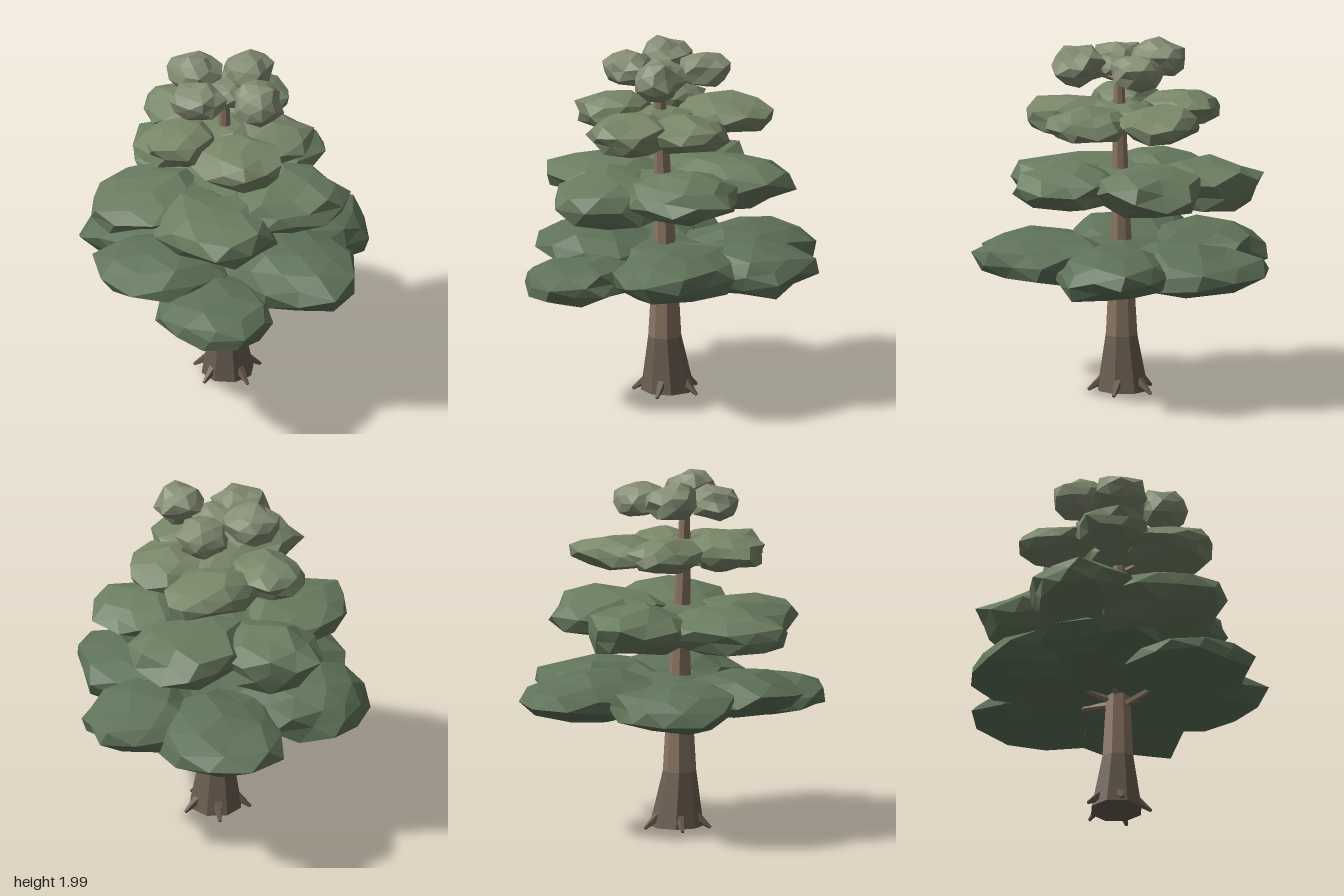
import * as THREE from 'three';
import { mergeVertices } from 'three/addons/utils/BufferGeometryUtils.js';

// Small seeded random generator
let seed = 23;
const rand = () => {
  seed = (seed * 16807) % 2147483647;
  return seed / 2147483647;
};

const paint = (color) => new THREE.MeshStandardMaterial({ color, flatShading: true });
const bark = paint(0x8a7663);
const darkBark = paint(0x6b5d50);

// Foliage tiers, bottom to top; core and clumps are [x, y, z, halfWidth, halfHeight, halfDepth]
const TIERS = [
  { name: 'bottomTier', color: 0x5f7359, core: [-0.04, 0.79, 0.01, 0.36, 0.09, 0.36], clumps: [
    [0.44, 0.79, 0.00, 0.40, 0.14, 0.35],
    [0.20, 0.80, 0.42, 0.35, 0.14, 0.40],
    [-0.34, 0.73, 0.45, 0.34, 0.11, 0.39],
    [-0.44, 0.80, 0.00, 0.40, 0.13, 0.34],
    [-0.35, 0.78, -0.41, 0.36, 0.14, 0.37],
    [0.24, 0.78, -0.44, 0.37, 0.14, 0.41]] },
  { name: 'lowerMiddleTier', color: 0x6a7d60, core: [-0.05, 1.19, 0.0, 0.28, 0.09, 0.28], clumps: [
    [-0.08, 1.20, -0.40, 0.30, 0.14, 0.37],
    [0.29, 1.21, -0.17, 0.35, 0.14, 0.30],
    [0.18, 1.23, 0.27, 0.35, 0.13, 0.31],
    [-0.27, 1.15, 0.29, 0.34, 0.15, 0.37],
    [-0.46, 1.18, -0.12, 0.37, 0.12, 0.32]] },
  { name: 'upperMiddleTier', color: 0x788668, core: [-0.06, 1.57, 0.02, 0.22, 0.08, 0.22], clumps: [
    [-0.18, 1.60, -0.29, 0.20, 0.10, 0.23],
    [0.18, 1.58, -0.22, 0.27, 0.10, 0.24],
    [0.15, 1.57, 0.17, 0.25, 0.10, 0.23],
    [-0.14, 1.55, 0.30, 0.25, 0.11, 0.25],
    [-0.37, 1.59, 0.02, 0.23, 0.11, 0.21]] },
  { name: 'topTier', color: 0x858e74, core: [-0.07, 1.85, 0.03, 0.14, 0.06, 0.14], clumps: [
    [-0.15, 1.89, -0.18, 0.15, 0.11, 0.15],
    [0.13, 1.86, -0.10, 0.15, 0.10, 0.15],
    [-0.26, 1.86, 0.06, 0.15, 0.10, 0.15],
    [0.03, 1.86, 0.24, 0.15, 0.12, 0.15]] },
];

// Trunk sections: [y, centreX, centreZ, radius]
const BASE = [[0.02, -0.045, 0, 0.15], [0.33, -0.058, 0.01, 0.093]];
const STEM = [
  BASE[1], [0.7, -0.056, 0.012, 0.072], [1.0, -0.058, 0.015, 0.056],
  [1.4, -0.072, 0.022, 0.044], [1.84, -0.082, 0.028, 0.028],
];

// Faceted column through a list of round sections, capped at both ends
function columnGeometry(sections, sides = 8) {
  const pos = [];
  const index = [];
  for (const [y, cx, cz, r] of sections) {
    for (let i = 0; i < sides; i++) {
      const a = (i / sides) * Math.PI * 2 + 0.2;
      pos.push(cx + Math.cos(a) * r, y, cz + Math.sin(a) * r);
    }
  }
  for (let s = 0; s < sections.length - 1; s++) {
    for (let i = 0; i < sides; i++) {
      const a = s * sides + i;
      const b = s * sides + ((i + 1) % sides);
      index.push(a, a + sides, b, b, a + sides, b + sides);
    }
  }
  const top = (sections.length - 1) * sides;
  for (let i = 1; i < sides - 1; i++) {
    index.push(0, i, i + 1, top, top + i + 1, top + i);
  }
  const geo = new THREE.BufferGeometry();
  geo.setAttribute('position', new THREE.Float32BufferAttribute(pos, 3));
  geo.setIndex(index);
  geo.computeVertexNormals();
  return geo;
}

// Irregular low-poly leaf clump, fitted to the given half sizes
function leafClump([x, y, z, hx, hy, hz], material, name) {
  let geo = new THREE.IcosahedronGeometry(1, 1);
  geo.deleteAttribute('uv');
  geo.deleteAttribute('normal');
  geo = mergeVertices(geo, 1e-3);
  geo.rotateX(rand() * 3).rotateY(rand() * 6);
  const p = geo.attributes.position;
  for (let i = 0; i < p.count; i++) {
    const k = 0.82 + rand() * 0.34;
    p.setXYZ(i, p.getX(i) * k, p.getY(i) * k, p.getZ(i) * k);
  }
  geo.center();
  const b = geo.boundingBox.getSize(new THREE.Vector3());
  geo.scale((2 * hx) / b.x, (2 * hy) / b.y, (2 * hz) / b.z);
  geo.computeVertexNormals();
  const mesh = new THREE.Mesh(geo, material);
  mesh.position.set(x, y, z);
  mesh.name = name;
  return mesh;
}

// Tapered limb between two points
function limb(from, to, r0, r1, material, name) {
  const dir = to.clone().sub(from);
  const mesh = new THREE.Mesh(new THREE.CylinderGeometry(r1, r0, dir.length(), 5), material);
  mesh.position.copy(from).addScaledVector(dir, 0.5);
  mesh.quaternion.setFromUnitVectors(new THREE.Vector3(0, 1, 0), dir.normalize());
  mesh.name = name;
  return mesh;
}

// Trunk centre at a given height
function trunkAt(y) {
  const i = Math.max(1, STEM.findIndex((s) => s[0] >= y));
  const [a, b] = [STEM[i - 1], STEM[i]];
  const t = (y - a[0]) / (b[0] - a[0]);
  return new THREE.Vector3(a[1] + (b[1] - a[1]) * t, y, a[2] + (b[2] - a[2]) * t);
}

export function createModel() {
  const tree = new THREE.Group();
  tree.name = 'tree';

  // Trunk with a darker flared base
  const base = new THREE.Mesh(columnGeometry(BASE), darkBark);
  base.name = 'trunkBase';
  const stem = new THREE.Mesh(columnGeometry(STEM), bark);
  stem.name = 'trunk';
  tree.add(base, stem);

  // Short pointed roots around the base
  const roots = new THREE.Group();
  roots.name = 'roots';
  for (const deg of [8, 82, 160, 225, 300]) {
    const a = (deg * Math.PI) / 180;
    const at = (r, y) => new THREE.Vector3(-0.045 + Math.cos(a) * r, y, Math.sin(a) * r);
    roots.add(limb(at(0.11, 0.08), at(0.195, 0.015), 0.03, 0.009, darkBark, 'root'));
  }
  tree.add(roots);

  // Foliage tiers: a core around the trunk and outer clumps, each held by a branch
  for (const { name, color, core, clumps } of TIERS) {
    const tier = new THREE.Group();
    tier.name = name;
    const leaves = paint(color);
    tier.add(leafClump(core, leaves, 'leafCore'));
    for (const size of clumps) {
      const clump = leafClump(size, leaves, 'leafClump');
      const start = trunkAt(size[1] - size[4] * 0.8);
      const r = 0.022 * (1.2 - size[1] * 0.35);
      tier.add(clump, limb(start, clump.position, r, r * 0.6, bark, 'branch'));
    }
    tree.add(tier);
  }
  return tree;
}
